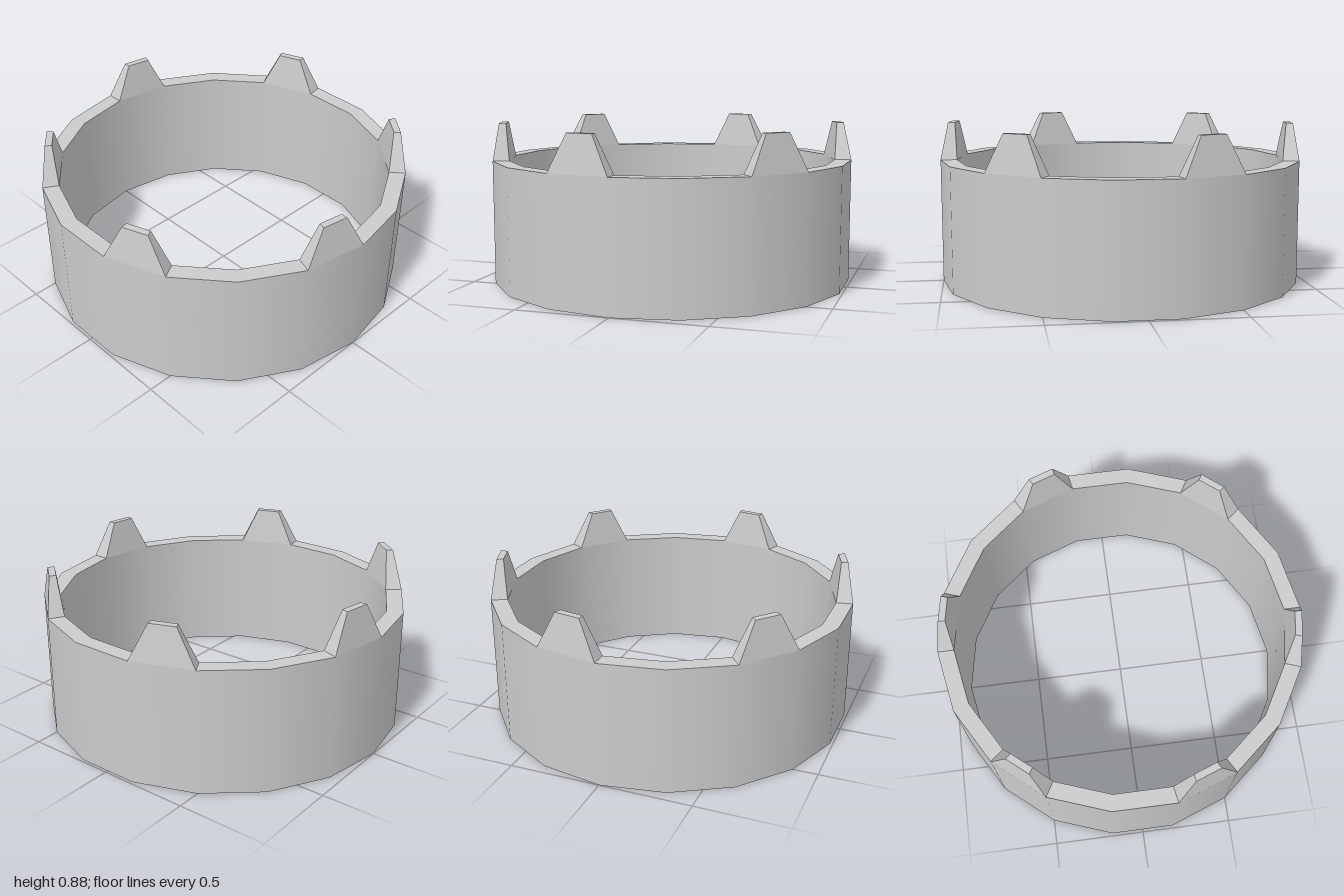
import * as THREE from 'three';

const SIDES = 18, OUTER = 1, INNER = 0.91, RIM = 0.68, TIP = 0.88;
const TEETH = 6, TIP_SCALE = 0.42;
const rad = THREE.MathUtils.degToRad;

// Faceted surface swept round y from a two-point profile
function band(r0, y0, r1, y1, segments = SIDES, start = 90, sweep = 360) {
  const profile = [new THREE.Vector2(r0, y0), new THREE.Vector2(r1, y1)];
  return new THREE.LatheGeometry(profile, segments, rad(start), rad(sweep));
}

// Tapered tooth standing on the ring segment between 0 and 20 degrees
function toothGeometry() {
  const a = rad(360 / SIDES);
  const corner = (r, t) => new THREE.Vector3(r * Math.cos(t), RIM, r * Math.sin(t));
  const base = [corner(OUTER, 0), corner(INNER, 0), corner(INNER, a), corner(OUTER, a)];
  const mid = base.reduce((s, p) => s.add(p), new THREE.Vector3()).divideScalar(4);
  const top = base.map((p) => mid.clone().lerp(p, TIP_SCALE).setY(TIP));
  const points = [];
  const quad = (p, q, r, s) => points.push(p, q, r, p, r, s);
  for (let i = 0; i < 4; i++) {
    const j = (i + 1) % 4;
    quad(base[i], top[i], top[j], base[j]);
  }
  quad(top[3], top[2], top[1], top[0]);
  const geometry = new THREE.BufferGeometry().setFromPoints(points);
  geometry.computeVertexNormals();
  return geometry;
}

export function createModel() {
  const group = new THREE.Group();
  group.name = 'crownRing';
  const material = new THREE.MeshStandardMaterial({ color: 0xcccccc, side: THREE.DoubleSide });
  const add = (geometry, name) => {
    const mesh = new THREE.Mesh(geometry, material);
    mesh.name = name;
    group.add(mesh);
    return mesh;
  };

  // Ring walls and underside
  add(band(OUTER, 0, OUTER, RIM), 'outerWall');
  add(band(INNER, RIM, INNER, 0), 'innerWall');
  add(band(INNER, 0, OUTER, 0), 'bottomRim');

  // Teeth, with two flat rim segments between neighbours
  const tooth = toothGeometry();
  for (let i = 0; i < TEETH; i++) {
    const turn = i * 360 / TEETH;
    add(band(OUTER, RIM, INNER, RIM, 2, 30 + turn, 40), 'topRim');
    add(tooth, 'tooth').rotation.y = rad(turn);
  }
  return group;
}
